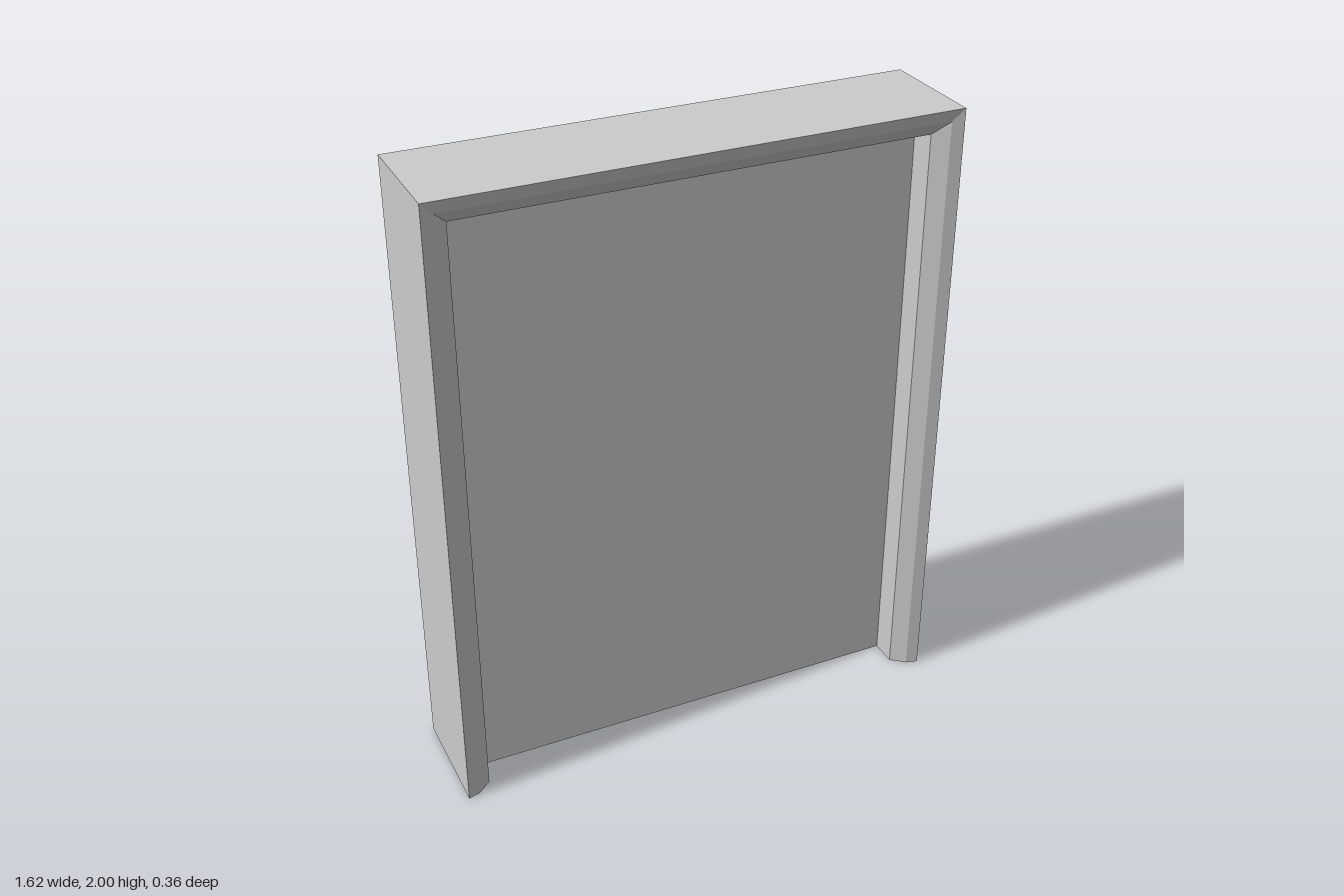
import * as THREE from 'three';

const HALF = 0.812, TOP = 2, INSET = 0.082;

// Moulding cross-section: [inset from the outer edge, z]
const PROFILE = [
  [0, -0.182], [0, 0.182], [0.038, 0.172],
  [INSET, 0.136], [INSET, -0.136], [0.038, -0.172],
];

// Sweeps the moulding up one jamb, across the head and down the other, with mitred corners
function frameGeometry() {
  const stations = [
    d => [-HALF + d, 0],
    d => [-HALF + d, TOP - d],
    d => [HALF - d, TOP - d],
    d => [HALF - d, 0],
  ];
  const loops = stations.map(at => PROFILE.map(([d, z]) => [...at(d), z]));
  const positions = [];
  const tri = (a, b, c) => positions.push(...a, ...b, ...c);
  const n = PROFILE.length;
  for (let s = 0; s < 3; s++) {
    for (let i = 0; i < n; i++) {
      const j = (i + 1) % n;
      tri(loops[s][i], loops[s][j], loops[s + 1][j]);
      tri(loops[s][i], loops[s + 1][j], loops[s + 1][i]);
    }
  }
  // Feet of the two jambs
  for (let i = 1; i < n - 1; i++) {
    tri(loops[0][0], loops[0][i + 1], loops[0][i]);
    tri(loops[3][0], loops[3][i], loops[3][i + 1]);
  }
  const geometry = new THREE.BufferGeometry();
  geometry.setAttribute('position', new THREE.Float32BufferAttribute(positions, 3));
  geometry.computeVertexNormals();
  return geometry;
}

export function createModel() {
  const group = new THREE.Group();
  group.name = 'framedDoor';
  const material = new THREE.MeshStandardMaterial({ color: 0xcccccc, flatShading: true });

  // Bevelled surround, the same on both faces
  const frame = new THREE.Mesh(frameGeometry(), material);
  frame.name = 'frame';

  // Flat leaf recessed between the jambs
  const height = TOP - INSET;
  const panel = new THREE.Mesh(new THREE.BoxGeometry(2 * (HALF - INSET), height, 0.1), material);
  panel.name = 'doorPanel';
  panel.position.y = height / 2;

  group.add(frame, panel);
  return group;
}
